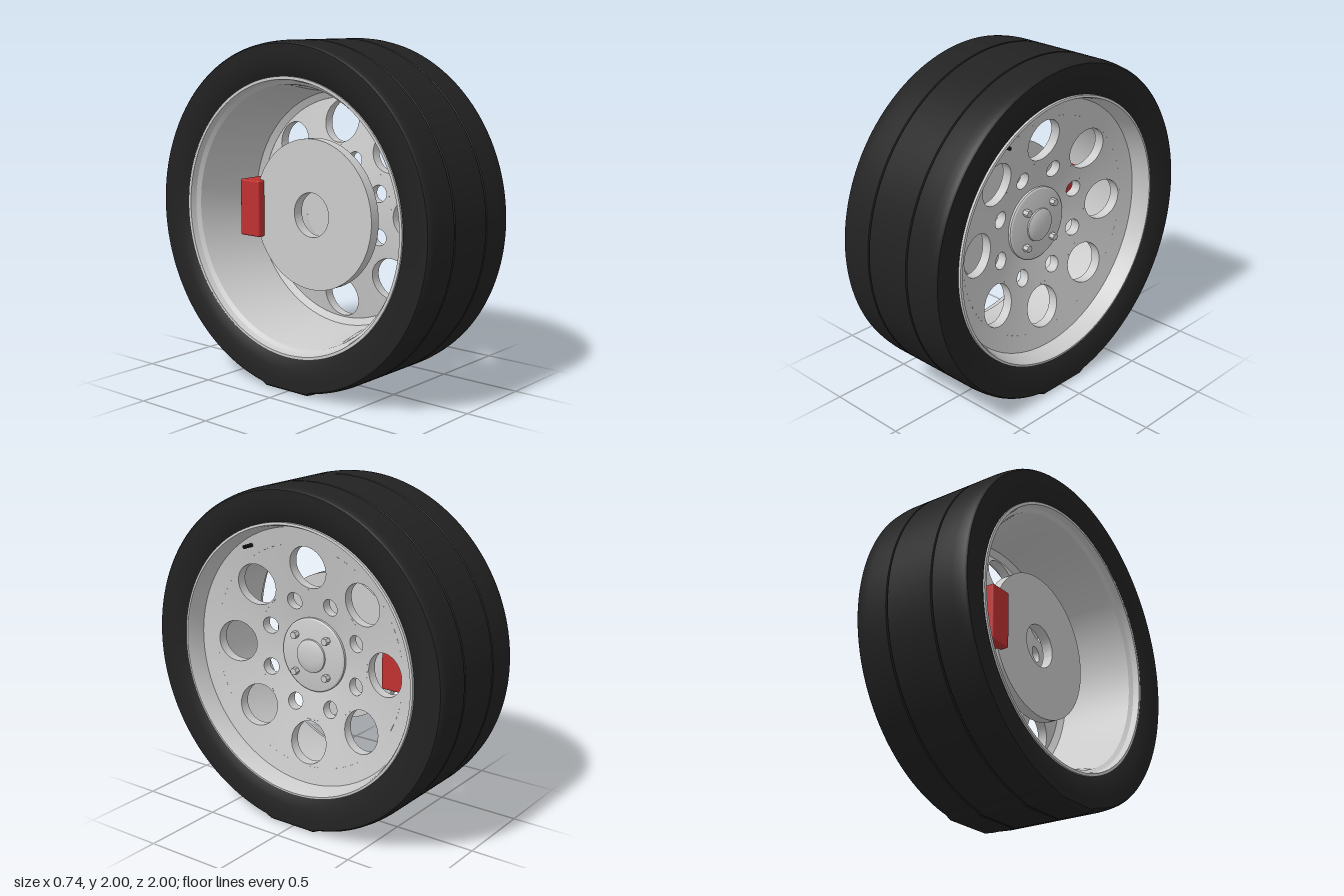
import * as THREE from 'three';
import { toCreasedNormals } from 'three/addons/utils/BufferGeometryUtils.js';
import { RoundedBoxGeometry } from 'three/addons/geometries/RoundedBoxGeometry.js';
import { ParametricGeometry } from 'three/addons/geometries/ParametricGeometry.js';

const grey = new THREE.MeshStandardMaterial({ color: 0xcccccc, side: THREE.DoubleSide });
const rubber = new THREE.MeshStandardMaterial({ color: 0x222222, side: THREE.DoubleSide });
const red = new THREE.MeshStandardMaterial({ color: 0xc03030 });
const black = new THREE.MeshStandardMaterial({ color: 0x111111 });

const THICK = 0.06;
// dished wheel face: axial position of its front at radius r
const dish = (r) => 0.09 + 0.2 * r;

function add(parent, name, geometry, material) {
  const mesh = new THREE.Mesh(geometry, material);
  mesh.name = name;
  parent.add(mesh);
  return mesh;
}

// profile of [radius, axial position], turned about the x axis
function turn(profile, segments = 128) {
  const g = new THREE.LatheGeometry(profile.map(([r, x]) => new THREE.Vector2(r, x)), segments);
  return g.rotateZ(-Math.PI / 2);
}

// one sector of the dished face with a round hole in it
function holedSector(parent, name, angle, rc, rMin, rMax, hole) {
  const half = Math.PI / 8;
  const flat = (u, v) => {
    const t = u * Math.PI * 2, c = Math.cos(t), s = Math.sin(t);
    const m = Math.max(Math.abs(c), Math.abs(s));
    const r = rc + (s / m) * (s > 0 ? rMax - rc : rc - rMin);
    const a = (c / m) * half;
    const y = THREE.MathUtils.lerp(rc + hole * s, r * Math.cos(a), v);
    const z = THREE.MathUtils.lerp(hole * c, r * Math.sin(a), v);
    return [y, z];
  };
  const place = (y, z, depth, target) => {
    const ca = Math.cos(angle), sa = Math.sin(angle);
    target.set(dish(Math.hypot(y, z)) - depth, y * ca - z * sa, y * sa + z * ca);
  };
  const sector = new THREE.Group();
  sector.name = name;
  parent.add(sector);
  const surface = (label, fn, rows) => add(sector, label, new ParametricGeometry(fn, 48, rows), grey);
  surface('sectorFront', (u, v, p) => place(...flat(1 - u, v), 0, p), 4);
  surface('sectorBack', (u, v, p) => place(...flat(u, v), THICK, p), 4);
  surface('holeWall', (u, v, p) => place(...flat(u, 0), THICK * v, p), 1);
}

function makeTyre(parent) {
  const side = [[0.785, 0.325], [0.82, 0.345], [0.87, 0.362], [0.93, 0.37], [0.983, 0.37],
    [0.992, 0.36], [0.997, 0.33], [1, 0.29], [1, 0.156], [0.99, 0.152], [0.99, 0.148], [1, 0.144]];
  const profile = [...side.map(([r, x]) => [r, -x]), ...side.slice().reverse()];
  const g = turn(profile, 160);
  // flat contact patch under the tread
  const p = g.attributes.position;
  for (let i = 0; i < p.count; i++) {
    const y = p.getY(i), z = p.getZ(i), r = Math.hypot(y, z);
    if (y < 0 && r > 0.98 && Math.abs(z) < 0.16) p.setY(i, -r);
  }
  add(parent, 'tyre', toCreasedNormals(g, 0.6), rubber);
}

function makeRim(parent) {
  const inner = 0.66;
  const profile = [
    [0.802, 0.33], [0.802, 0.35], [0.788, 0.352], [0.78, 0.335], [0.76, dish(0.76)],
    [inner, dish(inner)], [inner, dish(inner) - THICK], [0.7, 0.14], [0.705, 0.08],
    [0.72, -0.06], [0.745, -0.24], [0.755, -0.29], [0.775, -0.31], [0.785, -0.345],
    [0.802, -0.345], [0.802, -0.32],
  ];
  add(parent, 'rimBarrel', toCreasedNormals(turn(profile), 0.45), grey);

  // eight large windows with eight bolt holes between them
  for (let i = 0; i < 8; i++) {
    const a = (i * Math.PI) / 4;
    holedSector(parent, 'windowSector', a, 0.525, 0.39, inner, 0.125);
    holedSector(parent, 'boltHoleSector', a + Math.PI / 8, 0.33, 0.22, 0.39, 0.05);
  }
  const c = dish(0.22);
  add(parent, 'hubPlate', toCreasedNormals(
    turn([[0.22, c], [0, c], [0, c - THICK], [0.22, c - THICK]], 64), 0.5), grey);
}

function makeHub(parent) {
  const cap = [[0.22, 0.12], [0.22, 0.148], [0.212, 0.154], [0.16, 0.163], [0.1, 0.168],
    [0.098, 0.176], [0.08, 0.184], [0.045, 0.19], [0, 0.192]];
  add(parent, 'hubCap', toCreasedNormals(turn(cap, 64), 0.45), grey);
  for (const y of [-0.11, 0.11]) for (const z of [-0.11, 0.11]) {
    const nut = add(parent, 'lugNut', toCreasedNormals(
      new THREE.CylinderGeometry(0.022, 0.022, 0.05, 6), 0.5), grey);
    nut.rotation.z = -Math.PI / 2;
    nut.position.set(0.172, y, z);
  }
}

function makeBrake(parent) {
  const ring = [[0.13, -0.14], [0.44, -0.14], [0.44, -0.075], [0.13, -0.075], [0.13, -0.14]];
  add(parent, 'brakeDisc', toCreasedNormals(turn(ring, 96), 0.5), grey);
  const caliper = add(parent, 'brakeCaliper', new RoundedBoxGeometry(0.19, 0.34, 0.15, 2, 0.012), red);
  caliper.position.set(-0.095, 0, -0.445);
}

export function createModel() {
  const model = new THREE.Group();
  model.name = 'wheel';
  const wheel = new THREE.Group();
  wheel.name = 'wheelAssembly';
  wheel.position.y = 1;
  model.add(wheel);

  makeTyre(wheel);
  makeRim(wheel);
  makeHub(wheel);
  makeBrake(wheel);

  const valve = add(wheel, 'valveStem', new THREE.CylinderGeometry(0.011, 0.011, 0.08, 16), black);
  valve.rotation.z = -Math.PI / 2;
  valve.position.set(0.26, 0.61, 0.375);
  return model;
}
